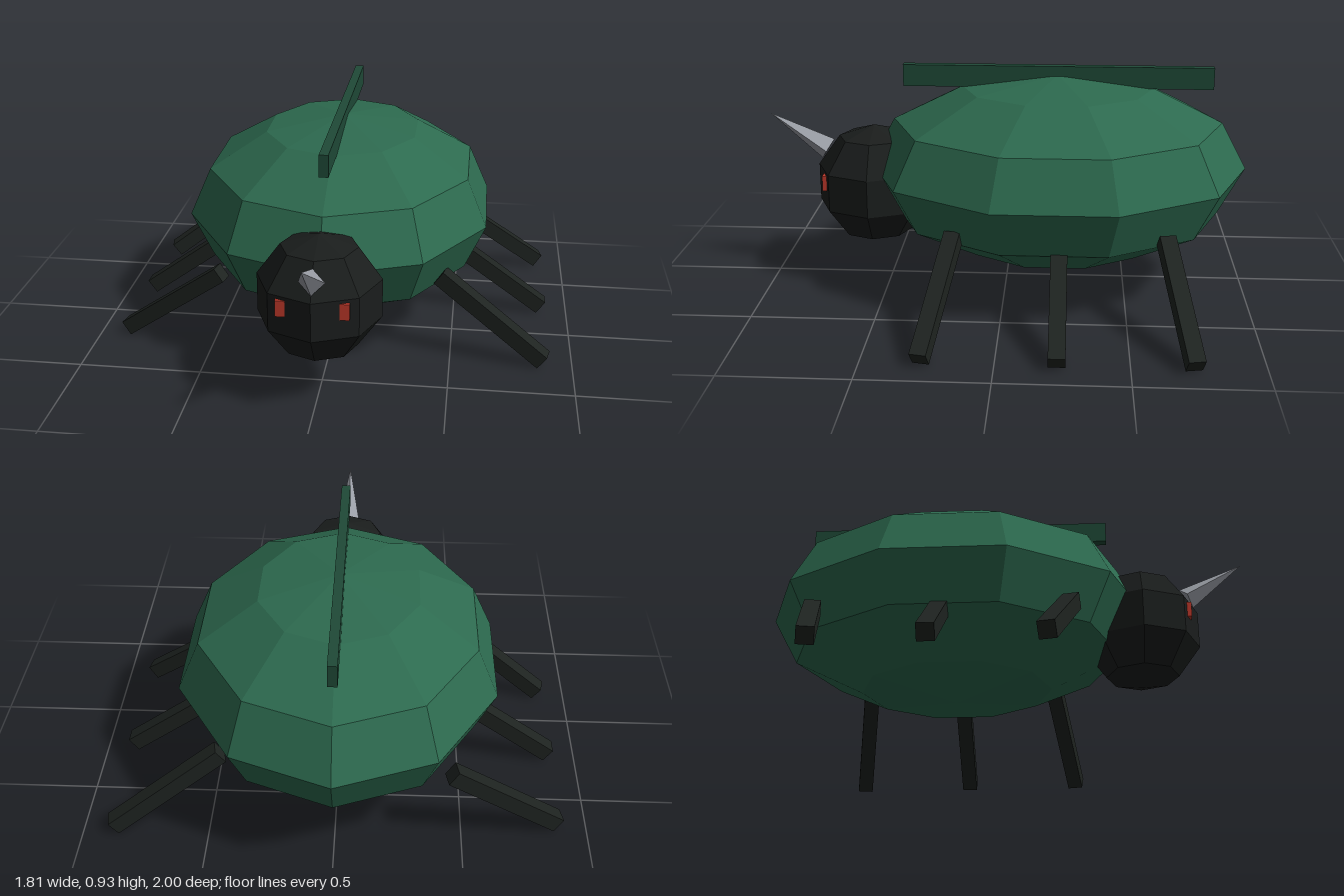
import * as THREE from 'three';

const mat = (color) => new THREE.MeshStandardMaterial({ color, flatShading: true });
const shellMat = mat(0x2d6a4f);
const ridgeMat = mat(0x1f4a37);
const darkMat = mat(0x1e2320);
const headMat = mat(0x1a1d1c);
const eyeMat = mat(0xc0392b);
const hornMat = mat(0x9a9ea6);

export function createModel() {
  const model = new THREE.Group();
  model.name = 'beetle';

  const add = (name, geometry, material, x, y, z) => {
    const mesh = new THREE.Mesh(geometry, material);
    mesh.name = name;
    mesh.position.set(x, y, z);
    model.add(mesh);
    return mesh;
  };

  // Faceted shell, turned so that a vertex column faces front and back
  const shell = new THREE.SphereGeometry(1, 10, 6).rotateY(Math.PI / 2).scale(0.657, 0.392, 0.79);
  add('shell', shell, shellMat, 0, 0.5, -0.21);

  // Straight seam bar along the top of the shell
  add('shellRidge', new THREE.BoxGeometry(0.037, 0.09, 1.28), ridgeMat, 0, 0.885, -0.21);

  // Head
  add('head', new THREE.SphereGeometry(0.255, 8, 5), headMat, 0, 0.412, 0.56);

  // Four-sided horn, leaning forward
  const tilt = 1.007, hornLength = 0.284;
  const horn = add('horn', new THREE.ConeGeometry(0.05, hornLength, 4), hornMat,
    0, 0.558 + Math.cos(tilt) * hornLength / 2, 0.76 + Math.sin(tilt) * hornLength / 2);
  horn.rotation.x = tilt;

  // Eyes and legs on both sides
  for (const [side, label] of [[1, 'left'], [-1, 'right']]) {
    add(label + 'Eye', new THREE.BoxGeometry(0.037, 0.065, 0.04), eyeMat, side * 0.12, 0.445, 0.744);

    // Front and rear legs are yawed the same way on both sides
    for (const [name, z, yaw] of [['Front', 0.23, -0.2], ['Middle', -0.23, 0], ['Rear', -0.69, 0.2]]) {
      const leg = add(label + name + 'Leg', new THREE.BoxGeometry(0.545, 0.065, 0.065), darkMat,
        side * 0.665, 0.185, z);
      leg.rotation.set(0, yaw, -side * 0.62);
    }
  }

  return model;
}
